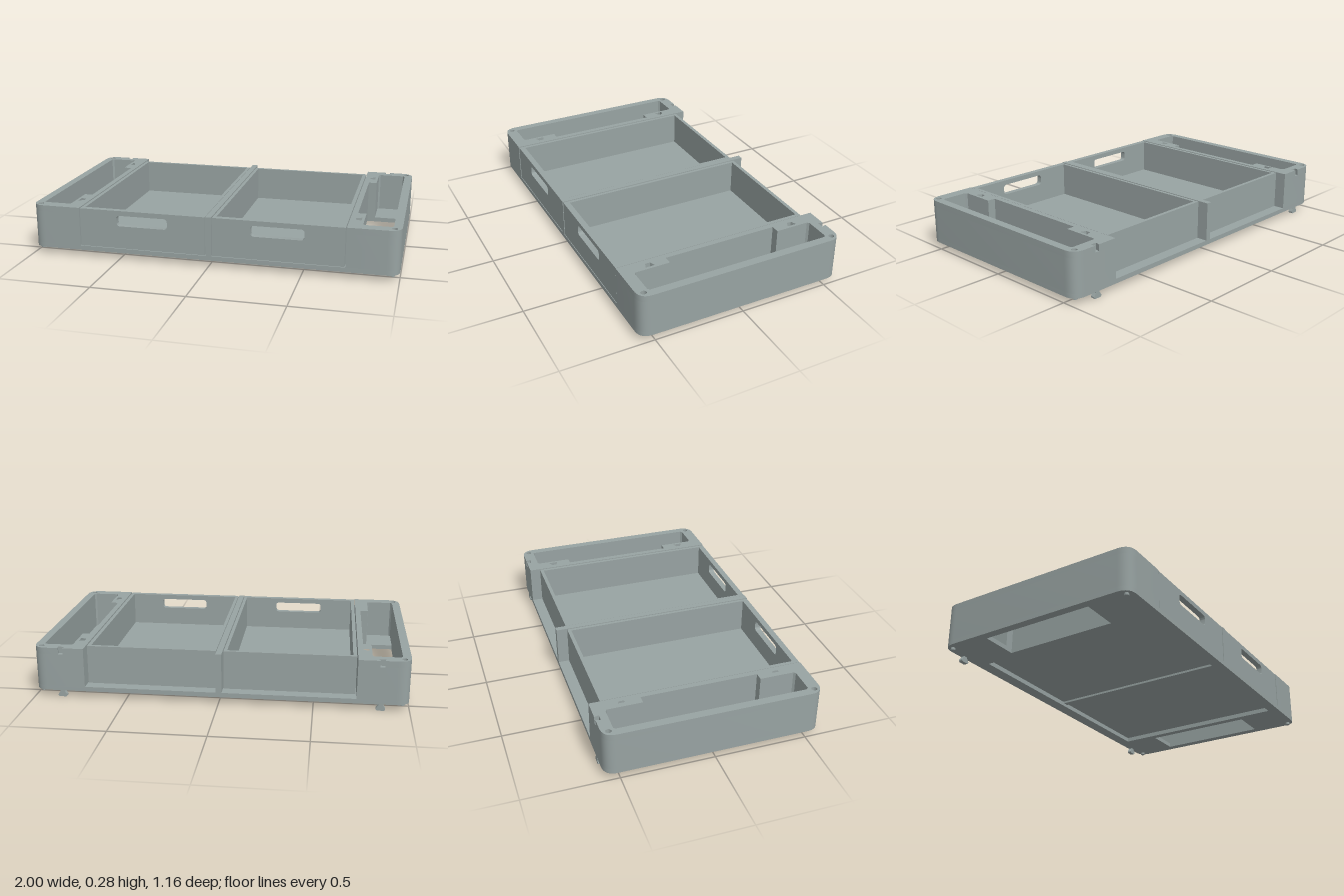
import * as THREE from 'three';
import { toCreasedNormals } from 'three/addons/utils/BufferGeometryUtils.js';

const BASE = 0.035, PLATE = 0.06, NOTCH = 0.24, TOP = 0.275;
const HALF_Z = 0.58;

export function createModel() {
  const model = new THREE.Group();
  model.name = 'drawerTray';
  const grey = new THREE.MeshStandardMaterial({ color: 0x98a3a2 });
  grey.name = 'sage grey plastic';

  const add = (parent, name, geometry) => {
    const mesh = new THREE.Mesh(geometry, grey);
    mesh.name = name;
    parent.add(mesh);
    return mesh;
  };
  // Box given by its limits
  const box = (parent, name, x0, x1, y0, y1, z0, z1) => {
    const mesh = add(parent, name, new THREE.BoxGeometry(Math.abs(x1 - x0), y1 - y0, z1 - z0));
    mesh.position.set((x0 + x1) / 2, (y0 + y1) / 2, (z0 + z1) / 2);
  };
  // Plan drawing (x, -z) raised from y0 to y1
  const slab = (parent, name, shape, y0, y1) => {
    const g = new THREE.ExtrudeGeometry(shape, { depth: y1 - y0, bevelEnabled: false, curveSegments: 10 });
    g.rotateX(-Math.PI / 2).translate(0, y0, 0);
    add(parent, name, toCreasedNormals(g, 0.5));
  };
  const poly = (points, Type = THREE.Path) => new Type(points.map(p => new THREE.Vector2(p[0], p[1])));
  const rect = (x0, x1, y0, y1) => poly([[x0, y0], [x1, y0], [x1, y1], [x0, y1]]);
  const rounded = (x0, x1, y0, y1, r, Type = THREE.Path) => {
    const p = new Type();
    p.moveTo(x0 + r, y0);
    p.lineTo(x1 - r, y0).quadraticCurveTo(x1, y0, x1, y0 + r);
    p.lineTo(x1, y1 - r).quadraticCurveTo(x1, y1, x1 - r, y1);
    p.lineTo(x0 + r, y1).quadraticCurveTo(x0, y1, x0, y1 - r);
    p.lineTo(x0, y0 + r).quadraticCurveTo(x0, y0, x0 + r, y0);
    return p;
  };

  // Base plate, open under the drawers and under each side pocket
  const plate = rounded(-1, 1, -HALF_Z, HALF_Z, 0.07, THREE.Shape);
  plate.holes.push(rect(-0.715, 0.715, -0.52, 0.51));
  for (const s of [-1, 1]) plate.holes.push(rect(s * 0.755, s * 0.955, -0.318, 0.318));
  slab(model, 'basePlate', plate, BASE, PLATE);

  // Plan of a side compartment; the rim layer carries notches and sockets
  const sidePlan = (s, rim) => {
    const p = new THREE.Shape();
    const r = 0.07;
    p.moveTo(s * 0.725, -HALF_Z);
    p.lineTo(s * (1 - r), -HALF_Z);
    p.quadraticCurveTo(s, -HALF_Z, s, -HALF_Z + r);
    p.lineTo(s, HALF_Z - r);
    p.quadraticCurveTo(s, HALF_Z, s * (1 - r), HALF_Z);
    if (rim) {
      for (const [x, z] of [[0.862, HALF_Z], [0.868, 0.555], [0.832, 0.555], [0.838, HALF_Z]]) p.lineTo(s * x, z);
    }
    p.lineTo(s * 0.725, HALF_Z);
    p.closePath();
    // Pocket, narrowed at both ends by the inner blocks
    p.holes.push(poly([
      [0.955, -0.505], [0.945, -0.515], [0.81, -0.515], [0.80, -0.505], [0.80, -0.318], [0.755, -0.318],
      [0.755, 0.318], [0.80, 0.318], [0.80, 0.505], [0.81, 0.515], [0.945, 0.515], [0.955, 0.505],
    ].map(([x, z]) => [s * x, z])));
    if (rim) {
      for (const e of [-1, 1]) {
        const z = e * 0.42;
        p.holes.push(poly([[0.755, z - 0.013], [0.785, z - 0.026], [0.785, z + 0.026], [0.755, z + 0.013]]
          .map(([x, y]) => [s * x, y])));
        p.holes.push(new THREE.Path().absarc(s * 0.963, e * 0.543, 0.015, 0, Math.PI * 2));
      }
    }
    return p;
  };

  // Hanging dovetail tab, seen from behind
  const tabShape = poly([[-0.012, 0.04], [-0.012, 0.03], [-0.024, 0.012], [-0.024, 0.005], [-0.018, 0],
    [0.018, 0], [0.024, 0.005], [0.024, 0.012], [0.012, 0.03], [0.012, 0.04]], THREE.Shape);

  for (const s of [-1, 1]) {
    const side = new THREE.Group();
    side.name = s > 0 ? 'leftCompartment' : 'rightCompartment';
    model.add(side);
    slab(side, 'compartmentWalls', sidePlan(s, false), PLATE, NOTCH);
    slab(side, 'compartmentRim', sidePlan(s, true), NOTCH, TOP);

    const tab = add(side, 'stackingTab', new THREE.ExtrudeGeometry(tabShape, { depth: 0.023, bevelEnabled: false }));
    tab.position.set(s * 0.85, 0, -HALF_Z);

    for (const e of [-1, 1]) {
      const peg = add(side, 'cornerPeg', new THREE.CylinderGeometry(0.012, 0.012, 0.015, 20));
      peg.position.set(s * 0.963, 0.0295, e * 0.543);
    }
  }

  // Divider between the drawers
  box(model, 'centreRail', -0.016, 0.016, 0.052, TOP, -HALF_Z, HALF_Z);

  // Drawers: floor, three plain walls and a front with a handle slot
  for (const s of [-1, 1]) {
    const drawer = new THREE.Group();
    drawer.name = s > 0 ? 'leftDrawer' : 'rightDrawer';
    model.add(drawer);
    const y0 = PLATE + 0.002, y1 = TOP - 0.002;
    box(drawer, 'drawerFloor', s * 0.02, s * 0.72, y0, 0.08, -0.52, 0.55);
    box(drawer, 'drawerBack', s * 0.02, s * 0.72, y0, y1, -0.52, -0.50);
    box(drawer, 'drawerInnerWall', s * 0.02, s * 0.038, y0, y1, -0.51, 0.55);
    box(drawer, 'drawerOuterWall', s * 0.70, s * 0.72, y0, y1, -0.51, 0.55);

    const front = poly([[s * 0.02, y0], [s * 0.72, y0], [s * 0.72, y1], [s * 0.02, y1]], THREE.Shape);
    front.holes.push(rounded(s > 0 ? 0.227 : -0.511, s > 0 ? 0.511 : -0.227, 0.187, 0.246, 0.02));
    const g = new THREE.ExtrudeGeometry(front, { depth: 0.033, bevelEnabled: false, curveSegments: 8 });
    g.translate(0, 0, 0.545);
    add(drawer, 'drawerFront', toCreasedNormals(g, 0.5));
  }

  return model;
}
